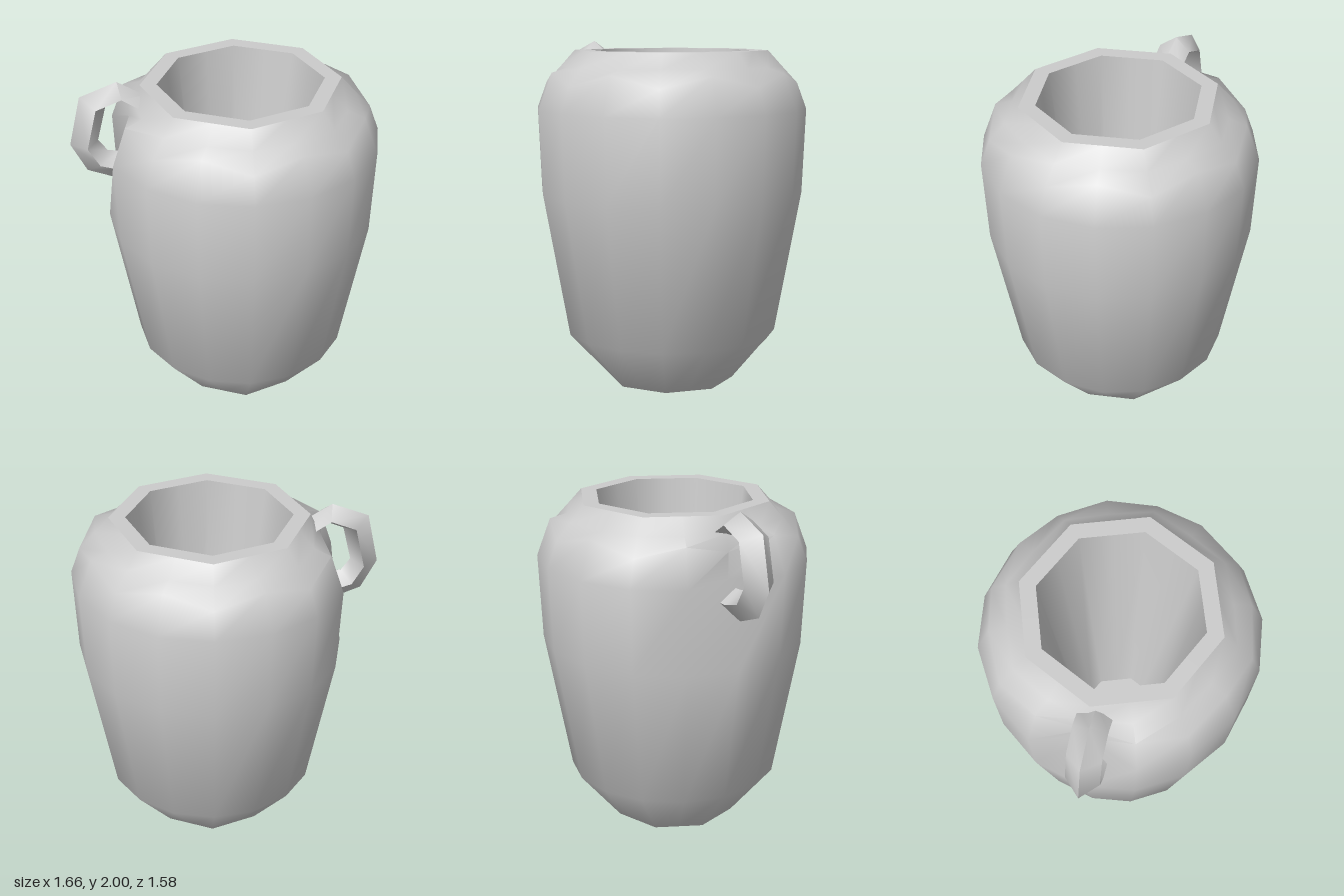
import * as THREE from 'three';
import { toCreasedNormals } from 'three/addons/utils/BufferGeometryUtils.js';

const material = new THREE.MeshStandardMaterial({ color: 0xcccccc, side: THREE.DoubleSide });
const CENTER_X = 0.04;
const SIDES = 16;

// Joins equal-sized rings of points into a surface with creased edges
function skin(name, rings, crease) {
  const n = rings[0].length;
  const index = [];
  for (let j = 0; j < rings.length - 1; j++) {
    for (let i = 0; i < n; i++) {
      const a = j * n + i, b = j * n + (i + 1) % n;
      index.push(a, a + n, b, b, a + n, b + n);
    }
  }
  const geometry = new THREE.BufferGeometry().setFromPoints(rings.flat());
  geometry.setIndex(index);
  const mesh = new THREE.Mesh(toCreasedNormals(geometry, crease), material);
  mesh.name = name;
  return mesh;
}

// One level of the jar: even corners use r and y, odd corners may differ
function jarRing({ r, y, oddR = r, oddY = y, dent = oddR }) {
  return Array.from({ length: SIDES }, (_, i) => {
    const a = (i / SIDES) * Math.PI * 2;
    const odd = i % 2 === 1;
    const radius = i === 7 ? dent : odd ? oddR : r; // corner 7 is hollowed behind the handle
    return new THREE.Vector3(CENTER_X + radius * Math.cos(a), odd ? oddY : y, radius * Math.sin(a));
  });
}

// A level with eight corners, its flats facing the axes
const octagon = (r, y) => jarRing({ r: r * Math.cos(Math.PI / 8), oddR: r, y });

function createJar() {
  const base = octagon(0.37, 0);
  const rim = octagon(0.565, 1.957);
  const mouth = octagon(0.47, 1.957);
  const floor = octagon(0.26, 0.2);
  const wall = [
    base,
    jarRing({ r: 0.62, y: 0.3 }),
    jarRing({ r: 0.77, y: 1.13 }),
    jarRing({ r: 0.79, y: 1.62, dent: 0.63 }),
    jarRing({ r: 0.71, y: 1.835, oddR: 0.735, oddY: 1.77, dent: 0.63 }),
    jarRing({ r: 0.61, y: 1.865, oddR: 0.645, oddY: 1.868, dent: 0.61 }),
    rim,
  ];
  const jar = new THREE.Group();
  jar.name = 'jar';
  jar.add(
    skin('base', [jarRing({ r: 0.001, y: 0 }), base], 1),
    skin('outerWall', wall, 1.2),
    skin('rim', [rim, mouth], 1),
    skin('innerWall', [mouth, floor], 1),
    skin('innerFloor', [floor, jarRing({ r: 0.001, y: 0.2 })], 1),
  );
  return jar;
}

function createHandle() {
  // Each step: outer ridge radius, height, then inner ridge radius, height
  const steps = [
    [0.50, 1.9, 0.50, 1.8],
    [0.54, 1.91, 0.56, 1.82],
    [0.69, 2.0, 0.66, 1.89],
    [0.9, 1.92, 0.76, 1.85],
    [0.967, 1.63, 0.81, 1.65],
    [0.88, 1.46, 0.76, 1.58],
    [0.70, 1.39, 0.69, 1.57],
    [0.6, 1.39, 0.6, 1.57],
  ];
  const angle = THREE.MathUtils.degToRad(154.5);
  const out = new THREE.Vector3(Math.cos(angle), 0, Math.sin(angle));
  const across = new THREE.Vector3(-out.z, 0, out.x);
  const point = (u, y, w) => new THREE.Vector3(CENTER_X, y, 0)
    .addScaledVector(out, u).addScaledVector(across, w);
  // Diamond cross-sections with the ridge facing outward
  const rings = steps.map(([u, y, v, h]) => {
    const mu = u * 0.4 + v * 0.6, my = y * 0.4 + h * 0.6;
    return [point(u, y, 0), point(mu, my, 0.095), point(v, h, 0), point(mu, my, -0.095)];
  });
  return skin('handle', rings, 1);
}

export function createModel() {
  const model = new THREE.Group();
  model.name = 'jug';
  model.add(createJar(), createHandle());
  return model;
}
